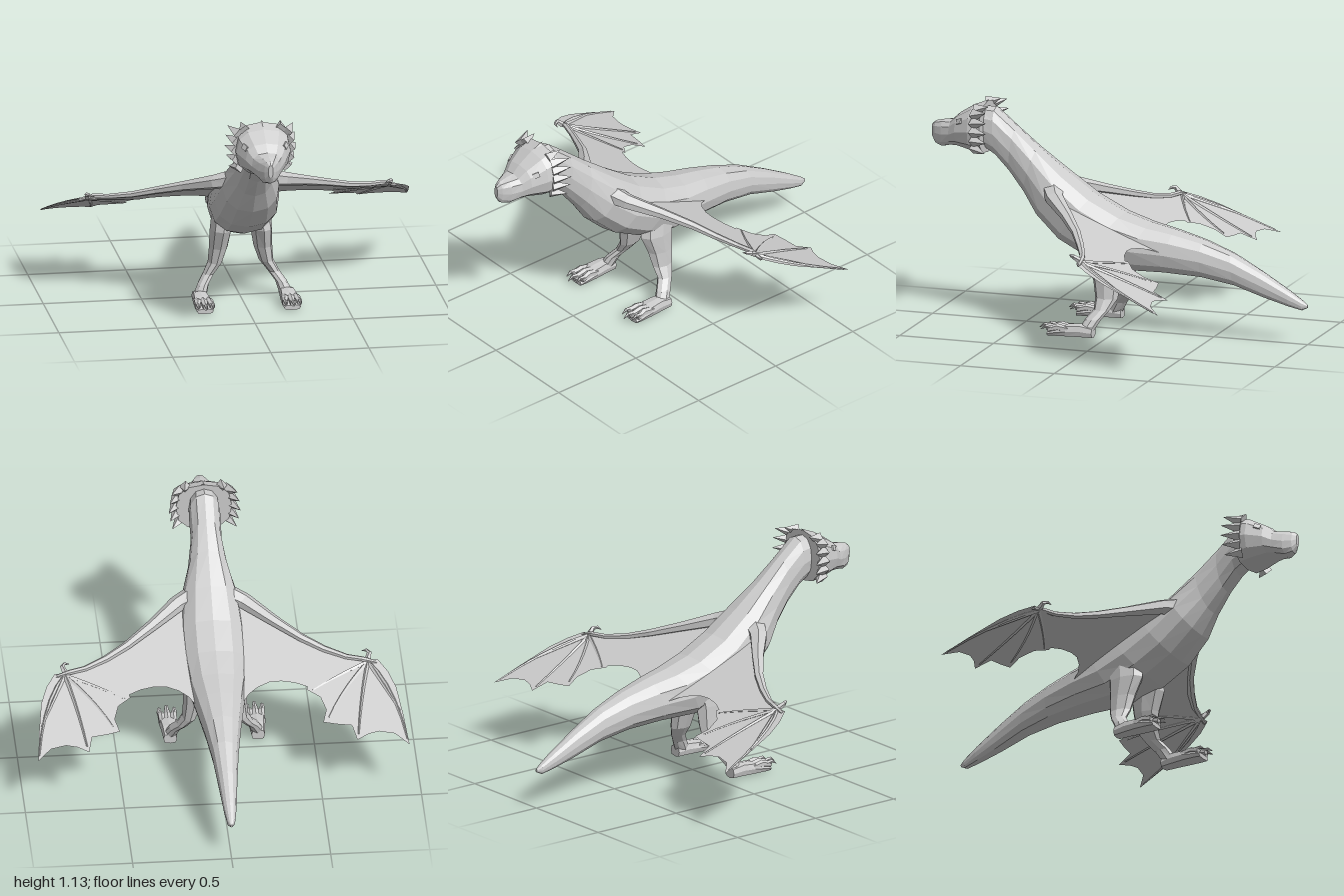
import * as THREE from 'three';

const V = (x, y, z) => new THREE.Vector3(x, y, z);
const skin = new THREE.MeshStandardMaterial({ color: 0xcccccc, side: THREE.DoubleSide });
skin.name = 'grey skin';

// Flat-shaded geometry from triangles, turned so that it faces outward
function solid(tris) {
  const volume = tris.reduce((s, t) => s + t[0].dot(t[1].clone().cross(t[2])), 0);
  const pos = [];
  for (const [a, b, c] of tris) {
    for (const p of volume < 0 ? [a, c, b] : [a, b, c]) pos.push(p.x, p.y, p.z);
  }
  const g = new THREE.BufferGeometry();
  g.setAttribute('position', new THREE.Float32BufferAttribute(pos, 3));
  g.computeVertexNormals();
  return g;
}

// Closed skin over a row of cross-section rings
function loft(rings) {
  const tris = [], n = rings[0].length;
  for (let i = 0; i < rings.length - 1; i++) {
    for (let j = 0; j < n; j++) {
      const k = (j + 1) % n, A = rings[i], B = rings[i + 1];
      tris.push([A[j], A[k], B[k]], [A[j], B[k], B[j]]);
    }
  }
  for (const [r, flip] of [[rings[0], true], [rings[rings.length - 1], false]]) {
    const c = r.reduce((s, p) => s.add(p), V(0, 0, 0)).divideScalar(n);
    for (let j = 0; j < n; j++) {
      const k = (j + 1) % n;
      tris.push(flip ? [c, r[k], r[j]] : [c, r[j], r[k]]);
    }
  }
  return solid(tris);
}

// Superelliptic ring around c, with half axes u and v
function ring(c, u, v, n, power = 1) {
  const bend = (t) => Math.sign(t) * Math.pow(Math.abs(t), power);
  return Array.from({ length: n }, (_, i) => {
    const a = (i / n) * Math.PI * 2;
    return c.clone().addScaledVector(u, bend(Math.sin(a))).addScaledVector(v, bend(Math.cos(a)));
  });
}

// Tapered tube through [x, y, z, radius] points
function limb(pts, n = 6, flat = 1) {
  const p = pts.map((q) => V(q[0], q[1], q[2]));
  return loft(p.map((c, i) => {
    const t = p[Math.min(i + 1, p.length - 1)].clone().sub(p[Math.max(i - 1, 0)]).normalize();
    const u = V(0, 1, 0).cross(t).normalize();
    const v = t.clone().cross(u);
    return ring(c, u.multiplyScalar(pts[i][3]), v.multiplyScalar(pts[i][3] * flat), n);
  }));
}

const spike = (a, b, r, flat = 1) => limb([[...a, r], [...b, 0.001]], 4, flat);

function mirrored(g) {
  const m = g.clone(), p = m.attributes.position;
  for (let i = 0; i < p.count; i += 3) {
    const [a, b, c] = [0, 1, 2].map((k) => V(-p.getX(i + k), p.getY(i + k), p.getZ(i + k)));
    [a, c, b].forEach((q, k) => p.setXYZ(i + k, q.x, q.y, q.z));
  }
  m.computeVertexNormals();
  return m;
}

// Height of the wing plane
const wingY = (z) => 0.55 + 0.42 * z;

export function createModel() {
  const model = new THREE.Group();
  model.name = 'wyvern';
  const add = (name, g) => {
    const m = new THREE.Mesh(g, skin);
    m.name = name;
    model.add(m);
  };
  const pair = (name, g) => {
    add(name + 'Left', g);
    add(name + 'Right', mirrored(g));
  };

  // Neck, body and tail: back z, back y, belly z, belly y, half width
  const body = [
    [0.74, 1.10, 0.72, 0.89, 0.075], [0.66, 1.10, 0.65, 0.845, 0.08], [0.55, 1.01, 0.58, 0.77, 0.078],
    [0.43, 0.91, 0.5, 0.67, 0.1], [0.28, 0.795, 0.43, 0.565, 0.145], [0.13, 0.69, 0.31, 0.45, 0.165],
    [-0.03, 0.61, 0.16, 0.37, 0.165], [-0.17, 0.568, -0.03, 0.313, 0.15], [-0.3, 0.54, -0.25, 0.315, 0.122],
    [-0.45, 0.5, -0.45, 0.305, 0.092], [-0.6, 0.445, -0.62, 0.275, 0.067], [-0.75, 0.365, -0.78, 0.222, 0.048],
    [-0.9, 0.275, -0.9, 0.19, 0.033], [-0.975, 0.225, -0.97, 0.175, 0.02], [-1, 0.205, -1, 0.19, 0.007],
  ];
  add('body', loft(body.map(([tz, ty, bz, by, w]) => ring(
    V(0, (ty + by) / 2, (tz + bz) / 2), V(w, 0, 0), V(0, (ty - by) / 2, (tz - bz) / 2), 12, 0.9))));

  // Head: z, top, bottom, half width
  const head = [
    [0.705, 1.125, 0.86, 0.142], [0.77, 1.105, 0.87, 0.138], [0.85, 1.055, 0.888, 0.105],
    [0.89, 1.018, 0.886, 0.08], [0.94, 1.012, 0.873, 0.055], [0.98, 1.003, 0.885, 0.03], [1, 0.985, 0.92, 0.012],
  ];
  add('head', loft(head.map(([z, t, b, w]) =>
    ring(V(0, (t + b) / 2, z), V(w, 0, 0), V(0, (t - b) / 2, 0), 12, 0.8))));

  // Frill spikes around the back of the head
  const frill = [
    [0.09, 1.095, 0.1, 1.118, 0.67], [0.12, 1.075, 0.165, 1.10, 0.662], [0.13, 1.035, 0.175, 1.05, 0.656],
    [0.135, 0.99, 0.18, 0.995, 0.655], [0.13, 0.945, 0.172, 0.945, 0.658], [0.115, 0.905, 0.162, 0.89, 0.668],
  ];
  frill.forEach(([bx, by, tx, ty, tz], i) =>
    pair('frillSpike' + (i + 1), spike([bx, by, 0.74], [tx, ty, tz], 0.032)));
  add('crown', spike([0, 1.09, 0.75], [0, 1.132, 0.7], 0.035, 0.6));

  // Eyes
  const eye = new THREE.BoxGeometry(0.034, 0.026, 0.008).toNonIndexed();
  eye.rotateZ(0.35).rotateX(-0.35).rotateY(0.95).translate(0.105, 1.032, 0.824);
  pair('eye', eye);

  // Wing membrane, outlined in x and z
  const edge = [
    [0, 0.3], [0.17, 0.31], [0.31, 0.19], [0.44, 0.09], [0.55, 0.025], [0.656, -0.025], [0.735, -0.05],
    [0.815, -0.05], [0.862, -0.12], [0.896, -0.21], [0.92, -0.37], [0.937, -0.53], [0.868, -0.466],
    [0.79, -0.45], [0.735, -0.462], [0.677, -0.492], [0.656, -0.41], [0.58, -0.4], [0.513, -0.386],
    [0.534, -0.317], [0.51, -0.245], [0.444, -0.2], [0.45, -0.185], [0.39, -0.16], [0.32, -0.147],
    [0.26, -0.15], [0.2, -0.175], [0.153, -0.21], [0.1, -0.285], [0, -0.3],
  ];
  const wing = new THREE.ShapeGeometry(new THREE.Shape(edge.map(([x, z]) => new THREE.Vector2(x, -z)))).toNonIndexed();
  const wp = wing.attributes.position;
  for (let i = 0; i < wp.count; i++) {
    const z = -wp.getY(i);
    wp.setXYZ(i, wp.getX(i), wingY(z), z);
  }
  wing.computeVertexNormals();
  pair('wingMembrane', wing);

  // Wing arm, tapering from the shoulder to the wrist
  pair('wingArm', limb([
    [0.08, 0.715, 0.33, 0.06], [0.17, 0.69, 0.29, 0.047], [0.31, 0.64, 0.175, 0.032], [0.44, 0.594, 0.08, 0.024],
    [0.55, 0.56, 0.02, 0.02], [0.66, 0.54, -0.03, 0.016], [0.74, 0.538, -0.055, 0.015], [0.81, 0.52, -0.062, 0.009],
  ], 6, 0.8));
  pair('thumbClaw', limb([
    [0.765, 0.535, -0.05, 0.016], [0.775, 0.555, -0.025, 0.012], [0.762, 0.558, -0.005, 0.008], [0.738, 0.55, 0.002, 0.001],
  ], 5));

  // Wing fingers: middle and end of each curve in x and z
  const fingers = [
    [0.885, -0.19, 0.93, -0.5], [0.835, -0.2, 0.905, -0.34], [0.715, -0.24, 0.685, -0.46],
    [0.62, -0.21, 0.545, -0.36], [0.6, -0.13, 0.475, -0.205],
  ];
  fingers.forEach(([mx, mz, ex, ez], i) => {
    const curve = new THREE.QuadraticBezierCurve3(V(0.765, 0, -0.06), V(mx, 0, mz), V(ex, 0, ez));
    pair('wingFinger' + (i + 1), limb(curve.getPoints(5).map((p, k) =>
      [p.x, wingY(p.z), p.z, 0.011 - 0.0014 * k]), 4));
  });

  // Legs: x, y, z, half width, half depth
  const leg = [
    [0.085, 0.47, 0.03, 0.06, 0.1], [0.103, 0.37, 0.045, 0.056, 0.098], [0.113, 0.27, 0.03, 0.048, 0.073],
    [0.13, 0.19, 0.027, 0.037, 0.06], [0.165, 0.135, 0.04, 0.029, 0.042], [0.198, 0.09, 0.075, 0.029, 0.042],
    [0.22, 0.035, 0.105, 0.035, 0.04],
  ];
  pair('leg', loft(leg.map(([x, y, z, w, d]) => ring(V(x, y, z), V(w, 0, 0), V(0, 0, d), 8))));

  // Feet: z, height, half width
  const foot = [[0.065, 0.055, 0.034], [0.13, 0.068, 0.04], [0.2, 0.062, 0.047], [0.27, 0.04, 0.047], [0.3, 0.025, 0.042]];
  pair('foot', loft(foot.map(([z, h, w]) =>
    ring(V(0.222, h / 2, z), V(w, 0, 0), V(0, h / 2, 0), 8, 0.6))));

  // Three toes with claws
  [-1, 0, 1].forEach((k) => {
    const x = 0.222 + k * 0.03, out = x + k * 0.008, end = k ? 0 : 0.02;
    pair('toe' + (k + 2), limb([
      [x, 0.04, 0.19, 0.016], [x, 0.048, 0.245, 0.019], [out, 0.035, 0.295 + end, 0.014]], 6));
    pair('claw' + (k + 2), limb([
      [out, 0.045, 0.27 + end, 0.012], [out, 0.05, 0.305 + end, 0.009], [out, 0.033, 0.332 + end, 0.001]], 5));
  });

  return model;
}
